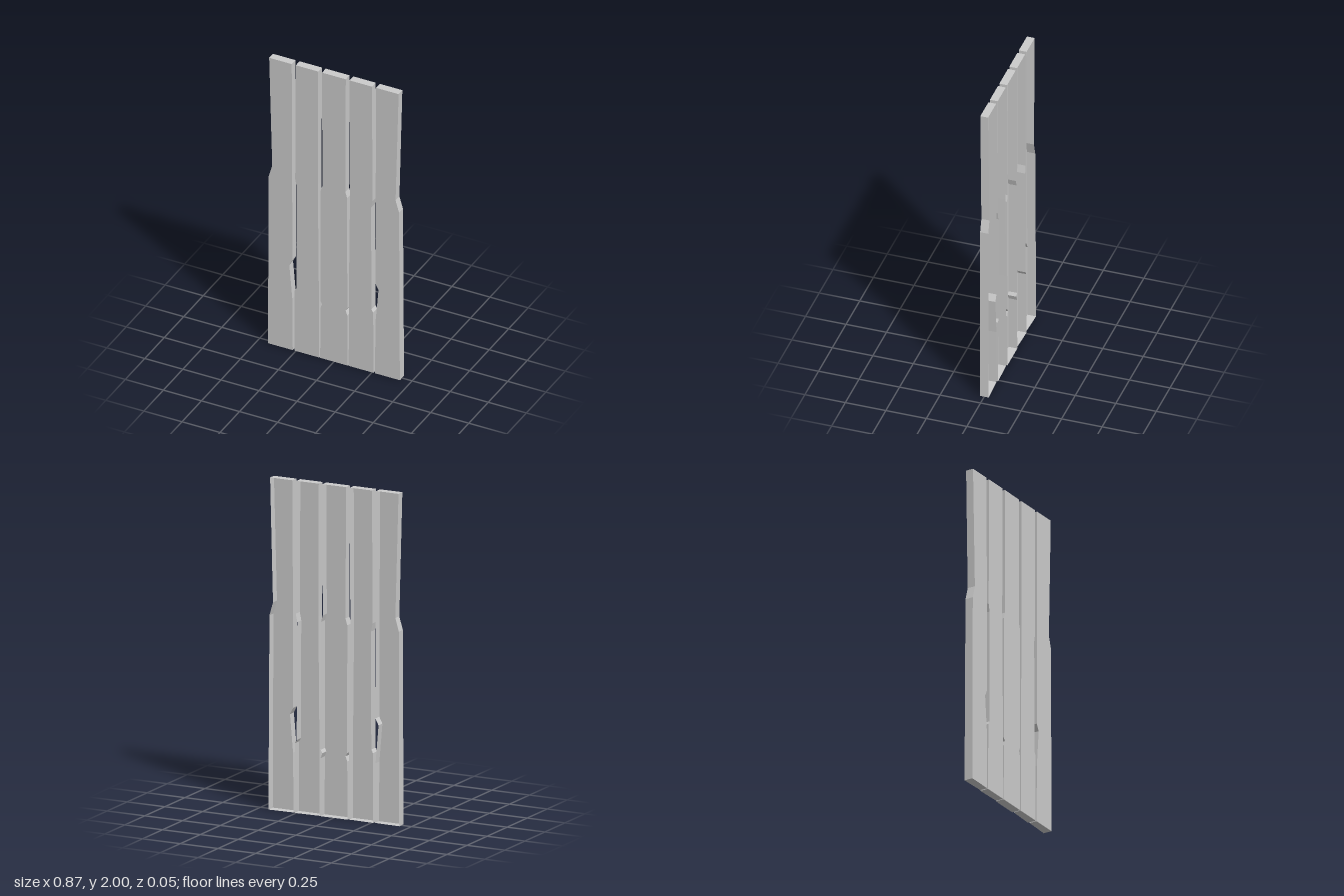
import * as THREE from 'three';

const FRONT = 0.027;
const BACK = -0.021;

// Outlines run counter-clockwise from the lower outer corner.
const outerPlank = [
  [-0.433, 0], [-0.27, 0], [-0.273, 0.36], [-0.293, 0.59], [-0.272, 0.63],
  [-0.277, 2], [-0.425, 2], [-0.405, 1.25], [-0.428, 1.17],
];
const innerPlank = [
  [-0.26, 0], [-0.097, 0], [-0.1, 0.65], [-0.106, 1.2], [-0.103, 2],
  [-0.25, 2], [-0.254, 1.2], [-0.244, 1.15], [-0.247, 0.44], [-0.258, 0.42],
];
const middleEdge = [[0.09, 0], [0.088, 0.35], [0.077, 0.38], [0.088, 0.4], [0.087, 1.17], [0.075, 1.21], [0.078, 2]];

const mirror = (points) => points.map(([x, y]) => [-x, y]).reverse();
const middlePlank = [...middleEdge, ...mirror(middleEdge)];

const material = new THREE.MeshStandardMaterial({ color: 0xcccccc, flatShading: true, side: THREE.DoubleSide });

// A plank is a front face with side walls, open at the back.
function makePlank(name, outline, flare) {
  const group = new THREE.Group();
  group.name = name;

  const shape = new THREE.Shape(outline.map(([x, y]) => new THREE.Vector2(x, y)));
  const face = new THREE.Mesh(new THREE.ShapeGeometry(shape), material);
  face.name = 'plankFace';
  face.position.z = FRONT;

  // The walls grow deeper towards the foot on the outer side.
  const backZ = ([x, y]) => BACK - 0.006 * flare(x) * (1 - y / 2);
  const positions = [];
  outline.forEach((a, i) => {
    const b = outline[(i + 1) % outline.length];
    const a1 = [...a, FRONT], b1 = [...b, FRONT];
    const a0 = [...a, backZ(a)], b0 = [...b, backZ(b)];
    positions.push(...a0, ...b0, ...b1, ...a0, ...b1, ...a1);
  });
  const geometry = new THREE.BufferGeometry();
  geometry.setAttribute('position', new THREE.Float32BufferAttribute(positions, 3));
  geometry.computeVertexNormals();
  const walls = new THREE.Mesh(geometry, material);
  walls.name = 'plankWalls';

  group.add(face, walls);
  return group;
}

export function createModel() {
  const model = new THREE.Group();
  model.name = 'plankPanel';
  const ramp = (inner, outer) => (x) => THREE.MathUtils.clamp((Math.abs(x) - inner) / (outer - inner), 0, 1);

  model.add(makePlank('middlePlank', middlePlank, () => 1));
  for (const [name, outline, flare] of [
    ['OuterPlank', outerPlank, ramp(0.27, 0.433)],
    ['InnerPlank', innerPlank, ramp(0.097, 0.26)],
  ]) {
    model.add(makePlank('right' + name, outline, flare));
    model.add(makePlank('left' + name, mirror(outline), flare));
  }
  return model;
}
